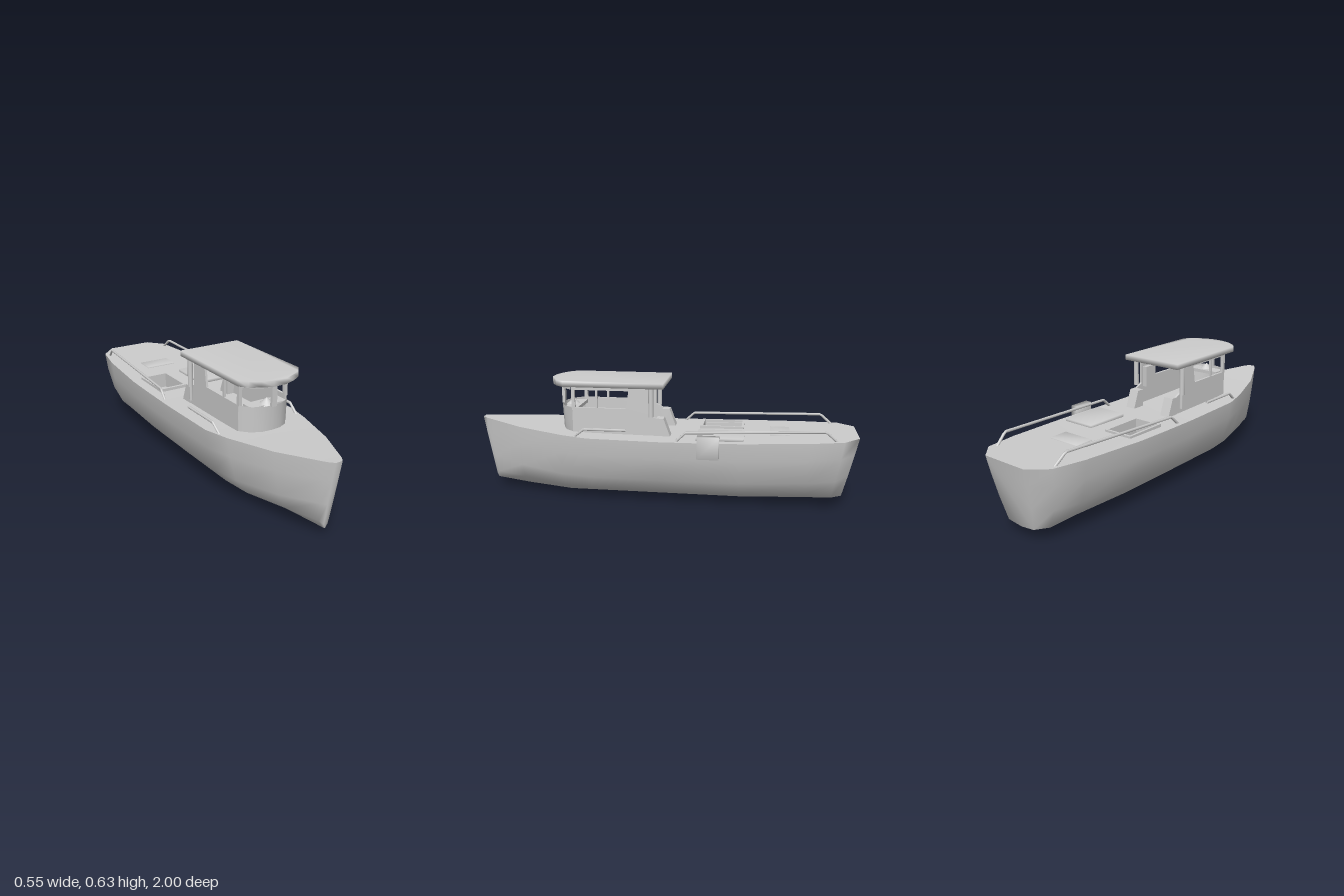
import * as THREE from 'three';
import { mergeVertices } from 'three/addons/utils/BufferGeometryUtils.js';

const grey = new THREE.MeshStandardMaterial({ color: 0xcccccc, side: THREE.DoubleSide });
grey.name = 'plain grey';

// height of the deck edge along the boat
const sheer = z => 0.358 + (z > 0.1 ? 0.042 * ((z - 0.1) / 0.9) ** 2 : 0.022 * Math.max(0, -z) ** 1.5);

// open hatch in the deck: x and z limits
const well = { x0: -0.19, x1: -0.055, z0: -0.41, z1: -0.205 };

// hull stations: z at deck, z at keel, half width, keel height, fullness of the bottom
const stations = [
  [1, 0.94, 0.018, 0.05, 0.6], [0.97, 0.92, 0.04, 0.047, 0.3], [0.75, 0.76, 0.145, 0.025, 0],
  [0.5, 0.52, 0.225, 0, 0], [0.36, 0.36, 0.256, 0, 0], [0, 0, 0.259, 0, 0],
  [well.z1, well.z1, 0.259, 0, 0], [well.z0, well.z0, 0.258, 0, 0],
  [-0.75, -0.74, 0.235, 0.014, 0.1], [-0.92, -0.87, 0.205, 0.027, 0.4], [-1, -0.93, 0.125, 0.05, 0.8],
];
// half section as fractions of width and depth, gunwale to keel
const section = [[1, 1], [0.955, 0.74], [0.81, 0.39], [0.55, 0.17], [0, 0]];

function meshGeometry(pos, idx) {
  const g = new THREE.BufferGeometry();
  g.setAttribute('position', new THREE.Float32BufferAttribute(pos, 3));
  g.setIndex(idx);
  g.computeVertexNormals();
  return g;
}

function hullGeometry() {
  const ring = [...section, ...section.slice(0, -1).reverse().map(([x, y]) => [-x, y])];
  const n = ring.length, pos = [], idx = [];
  stations.forEach(([zt, zb, half, keel, full], i) => {
    for (const [x, y] of ring) {
      const fx = x + Math.sign(x) * full * 0.3 * (1 - Math.abs(x));
      const fy = y < 0.3 ? y * (1 - full) : y;
      pos.push(fx * half, keel + (sheer(zt) - keel) * fy, zb + (zt - zb) * fy);
    }
    if (i === 0) return;
    for (let j = 0; j < n - 1; j++) {
      const a = (i - 1) * n + j, c = i * n + j;
      idx.push(a, a + 1, c, a + 1, c + 1, c);
    }
  });
  const last = (stations.length - 1) * n;
  for (let j = 1; j < n - 1; j++) idx.push(0, j + 1, j, last, last + j, last + j + 1);
  return meshGeometry(pos, idx);
}

// deck strips between stations, leaving the hatch open
function deckGeometry() {
  const pos = [], idx = [];
  stations.forEach(([z, , half], i) => {
    for (const x of [-half, Math.max(well.x0, -half * 0.7), Math.max(well.x1, -half * 0.2), half]) {
      pos.push(x, sheer(z), z);
    }
    if (i === 0) return;
    for (let j = 0; j < 3; j++) {
      if (j === 1 && z === well.z0) continue;
      const a = (i - 1) * 4 + j, c = i * 4 + j;
      idx.push(a, a + 1, c, a + 1, c + 1, c);
    }
  });
  return meshGeometry(pos, idx);
}

// shared corners, so the shading runs smoothly around the edges
function soften(geometry) {
  geometry.deleteAttribute('normal');
  geometry.deleteAttribute('uv');
  const g = mergeVertices(geometry);
  g.computeVertexNormals();
  return g;
}

function polygon(points, Type = THREE.Shape) {
  return new Type(points.map(p => new THREE.Vector2(...p)));
}

// outline in x and -z, raised to a slab
function slab(shape, depth) {
  return new THREE.ExtrudeGeometry(shape, { depth, bevelEnabled: false }).rotateX(-Math.PI / 2);
}

// outline in z and y, given a thickness across the boat
function sidePlate(shape, depth) {
  return new THREE.ExtrudeGeometry(shape, { depth, bevelEnabled: false }).rotateY(-Math.PI / 2);
}

// upright wall following a plan line
function wallStrip(plan, y0, y1) {
  const pos = [], idx = [];
  plan.forEach(([x, z], i) => {
    pos.push(x, y0, z, x, y1, z + (y1 - y0) * 0.05);
    if (i) idx.push(2 * i - 2, 2 * i, 2 * i - 1, 2 * i, 2 * i + 1, 2 * i - 1);
  });
  return meshGeometry(pos, idx);
}

// tube with straight runs between points
function railGeometry(points, side) {
  const path = new THREE.CurvePath();
  const v = points.map(([x, y, z]) => new THREE.Vector3(x * side, y, z));
  for (let i = 1; i < v.length; i++) path.add(new THREE.LineCurve3(v[i - 1], v[i]));
  return new THREE.TubeGeometry(path, 48, 0.007, 6);
}

export function createModel() {
  const model = new THREE.Group();
  const boat = new THREE.Group();
  boat.name = 'boat';
  boat.position.x = -0.018;
  model.add(boat);

  const add = (name, geometry, x = 0, y = 0, z = 0) => {
    const mesh = new THREE.Mesh(geometry, grey);
    mesh.name = name;
    mesh.position.set(x, y, z);
    boat.add(mesh);
  };
  const block = (x0, x1, y0, y1, z0, z1) => new THREE.BoxGeometry(x1 - x0, y1 - y0, z1 - z0)
    .translate((x0 + x1) / 2, (y0 + y1) / 2, (z0 + z1) / 2);

  // hull and deck
  add('hull', hullGeometry());
  add('deck', deckGeometry());

  // open hatch: raised coaming, well walls and floor
  const frame = polygon([[-0.202, 0.19], [-0.043, 0.19], [-0.043, 0.422], [-0.202, 0.422]]);
  frame.holes.push(polygon([[well.x0, -well.z0], [well.x0, -well.z1],
    [well.x1, -well.z1], [well.x1, -well.z0]], THREE.Path));
  add('hatchCoaming', slab(frame, 0.09), 0, 0.285, 0);
  add('hatchWellFloor', block(-0.2, -0.045, 0.285, 0.295, -0.42, -0.192));

  // closed hatches
  add('hatchCover', soften(block(0.043, 0.217, 0.35, 0.377, -0.43, -0.19)));
  add('aftHatch', soften(block(-0.087, 0.083, 0.35, 0.374, -0.66, -0.56)));

  // cabin side walls with two windows each
  const side = polygon([[0.46, 0.35], [0.46, 0.61], [0.06, 0.61], [0.06, 0.47], [0.02, 0.45], [0, 0.35]]);
  side.holes.push(
    polygon([[0.444, 0.495], [0.45, 0.587], [0.337, 0.587], [0.337, 0.495]], THREE.Path),
    polygon([[0.326, 0.495], [0.326, 0.587], [0.163, 0.587], [0.178, 0.495]], THREE.Path));
  add('cabinWallLeft', sidePlate(side, 0.012), 0.14);
  add('cabinWallRight', sidePlate(side, 0.012), -0.128);

  // curved cabin front: lower wall, header and window post
  const plan = [[-0.14, 0.455], [-0.1, 0.505], [-0.05, 0.53], [0, 0.535], [0.05, 0.53], [0.1, 0.505], [0.14, 0.455]];
  add('cabinFront', wallStrip(plan, 0.35, 0.495));
  add('windowHeader', wallStrip(plan.map(([x, z]) => [x, z + 0.01]), 0.587, 0.61));
  add('windowMullion', block(-0.014, 0.014, 0.49, 0.61, 0.535, 0.55));

  // roof with rounded front
  const roofShape = polygon([[-0.172, 0.02], [0.172, 0.02], [0.172, -0.5], [0.14, -0.54], [0.09, -0.57],
    [0.035, -0.59], [-0.035, -0.59], [-0.09, -0.57], [-0.14, -0.54], [-0.172, -0.5]]);
  add('roof', soften(slab(roofShape, 0.028)), 0, 0.607, 0);

  // inside the cabin
  add('dashboard', block(-0.1, 0.1, 0.47, 0.488, 0.44, 0.51));
  add('compassHousing', new THREE.ConeGeometry(0.04, 0.035, 12), 0, 0.5, 0.49);
  add('wallCabinet', block(0.103, 0.129, 0.45, 0.56, 0.07, 0.15));

  // parts repeated on both sides
  const step = sidePlate(polygon([[0.02, 0.35], [0.02, 0.45], [-0.018, 0.45], [-0.055, 0.35]]), 0.055);
  for (const s of [1, -1]) {
    const name = s > 0 ? 'Left' : 'Right';
    add('cornerPost' + name, block(-0.009, 0.009, 0.49, 0.61, 0.448, 0.464), s * 0.131);
    add('rearBlock' + name, step, s * 0.115 + 0.0275);
    add('roofTube' + name, new THREE.CylinderGeometry(0.013, 0.013, 0.15, 12), s * 0.153, 0.535, 0.045);
    add('aftRail' + name, railGeometry(
      [[0.23, 0.355, -0.09], [0.226, 0.402, -0.14], [0.196, 0.424, -0.83], [0.186, 0.37, -0.89]], s));
    add('foreRail' + name, railGeometry(
      [[0.225, 0.355, 0.44], [0.228, 0.402, 0.38], [0.232, 0.405, 0.16]], s));
  }
  add('sideCanister', new THREE.CylinderGeometry(0.01, 0.01, 0.085, 10), -0.15, 0.428, 0.045);

  // box hung over the left side
  add('sideBox', soften(block(0.258, 0.295, 0.287, 0.4, -0.312, -0.203)));

  return model;
}
